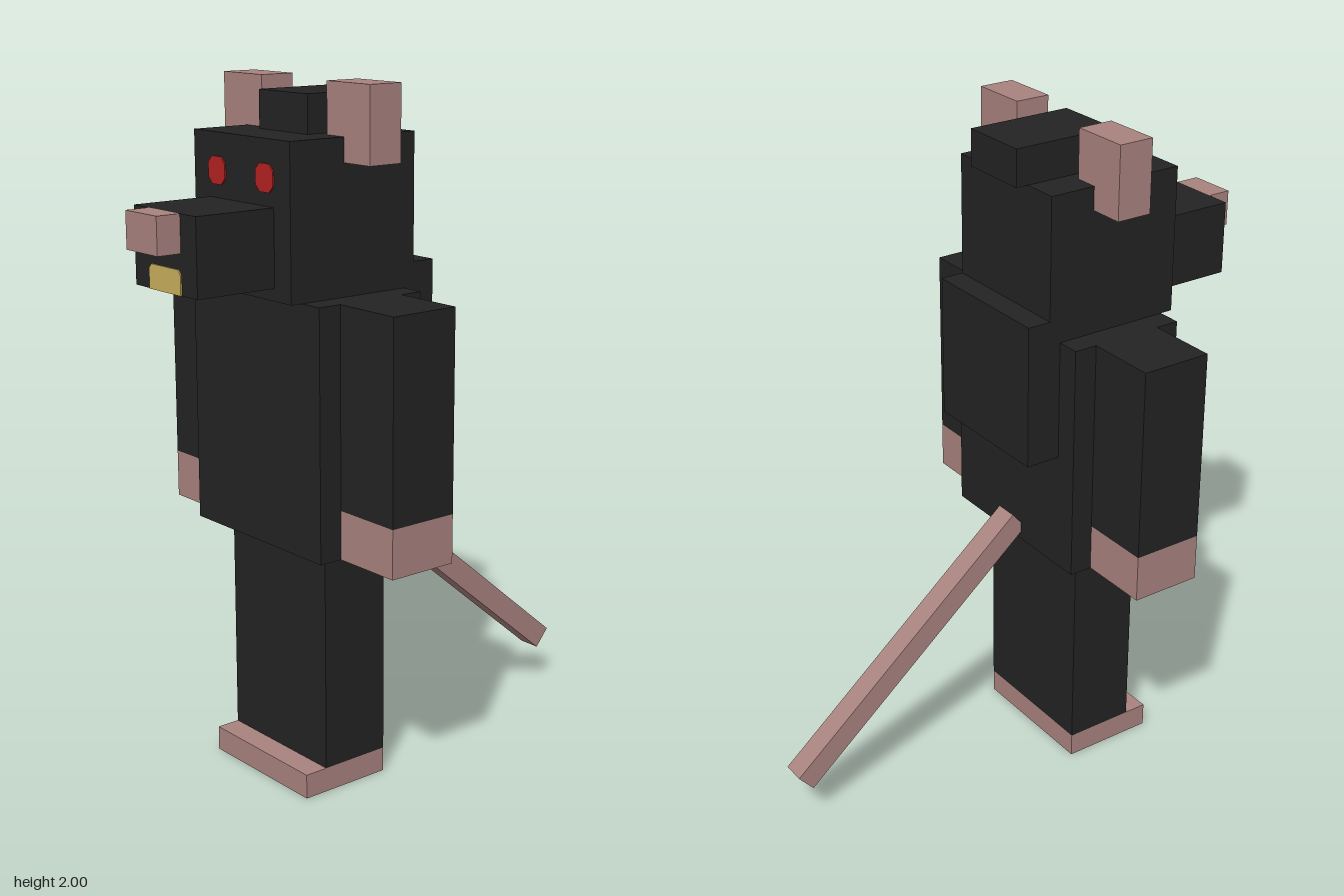
import * as THREE from 'three';

const mat = (name, color) => {
  const m = new THREE.MeshStandardMaterial({ color });
  m.name = name;
  return m;
};

export function createModel() {
  const fur = mat('black fur', 0x232323);
  const skin = mat('pink skin', 0xa9837f);
  const red = mat('red eye', 0xb42222);
  const gold = mat('yellow tooth', 0xc9b05c);
  const model = new THREE.Group();
  model.name = 'ratFigure';

  // Box given by its low and high limits on each axis
  const box = (name, material, [x0, x1], [y0, y1], [z0, z1]) => {
    const mesh = new THREE.Mesh(new THREE.BoxGeometry(x1 - x0, y1 - y0, z1 - z0), material);
    mesh.position.set((x0 + x1) / 2, (y0 + y1) / 2, (z0 + z1) / 2);
    mesh.name = name;
    model.add(mesh);
    return mesh;
  };

  // Thin front-facing plate, top and bottom corners cut by the given amounts
  const plate = (name, material, x, y, z, w, h, top, bottom) => {
    const a = w / 2, b = h / 2;
    const shape = new THREE.Shape([
      [-a + bottom, -b], [a - bottom, -b], [a, -b + bottom], [a, b - top],
      [a - top, b], [-a + top, b], [-a, b - top], [-a, -b + bottom],
    ].map(([px, py]) => new THREE.Vector2(px, py)));
    const mesh = new THREE.Mesh(new THREE.ExtrudeGeometry(shape, { depth: 0.004, bevelEnabled: false }), material);
    mesh.position.set(x, y, z);
    mesh.name = name;
    model.add(mesh);
  };

  // Torso, hump and legs
  box('torso', fur, [-0.285, 0.285], [0.72, 1.43], [0.038, 0.393]);
  box('backHump', fur, [-0.214, 0.214], [1.075, 1.5], [-0.068, 0.038]);
  box('legs', fur, [-0.214, 0.214], [0.072, 0.72], [0.108, 0.322]);
  box('feet', skin, [-0.214, 0.214], [0, 0.072], [0.108, 0.393]);

  // Head, tuft and snout
  box('head', fur, [-0.214, 0.214], [1.43, 1.858], [0.003, 0.43]);
  box('headTuft', fur, [-0.107, 0.107], [1.858, 1.965], [-0.035, 0.287]);
  box('snout', fur, [-0.143, 0.143], [1.465, 1.68], [0.43, 0.678]);
  box('nose', skin, [-0.072, 0.072], [1.576, 1.68], [0.678, 0.75]);
  plate('teeth', gold, 0, 1.499, 0.678, 0.146, 0.068, 0.012, 0.001);

  // Paired parts
  for (const [side, s] of [['left', 1], ['right', -1]]) {
    const span = (a, b) => (s > 0 ? [a, b] : [-b, -a]);
    box(side + 'Arm', fur, span(0.285, 0.5), [0.86, 1.43], [0.108, 0.322]);
    box(side + 'Hand', skin, span(0.285, 0.5), [0.72, 0.86], [0.108, 0.322]);
    box(side + 'Ear', skin, span(0.143, 0.32), [1.79, 2], [0.143, 0.25]);
    plate(side + 'Eye', red, s * 0.107, 1.755, 0.43, 0.076, 0.076, 0.018, 0.018);
  }

  // Tail sloping down behind
  const tail = box('tail', skin, [-0.035, 0.035], [0.431, 0.501], [-0.845, 0.147]);
  tail.rotation.x = -THREE.MathUtils.degToRad(40);

  return model;
}
